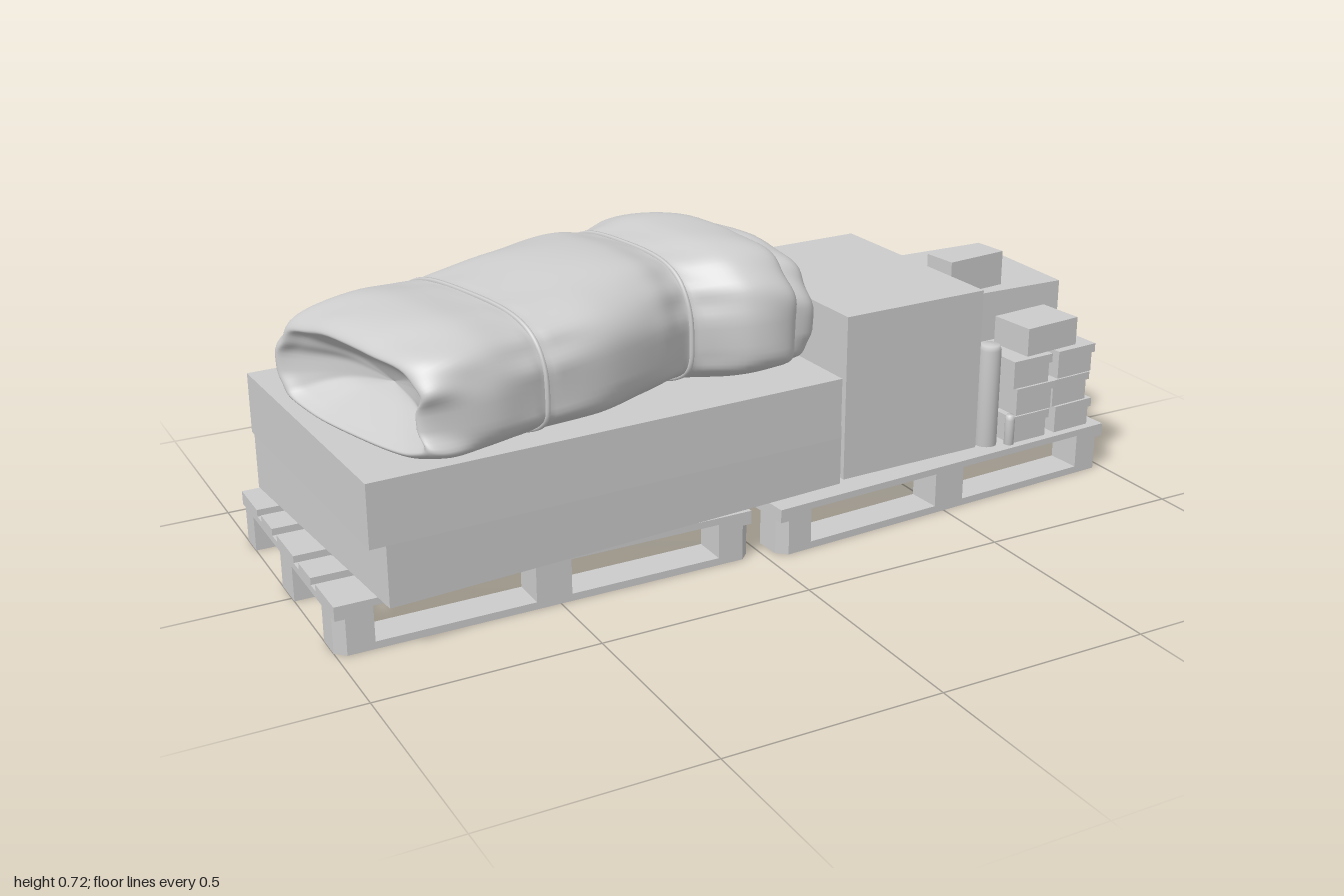
import * as THREE from 'three';

const grey = new THREE.MeshStandardMaterial({ color: 0xcccccc });
grey.name = 'plain grey';

function add(parent, geometry, name) {
  const mesh = new THREE.Mesh(geometry, grey);
  mesh.name = name;
  parent.add(mesh);
  return mesh;
}

// Box standing between heights y0 and y1
function box(parent, name, x, z, w, d, y0, y1, angle = 0) {
  const mesh = add(parent, new THREE.BoxGeometry(w, y1 - y0, d), name);
  mesh.position.set(x, (y0 + y1) / 2, z);
  mesh.rotation.y = angle;
  return mesh;
}

// Plan outline [x, z] raised from y0 to y1
function prism(parent, name, points, y0, y1) {
  const shape = new THREE.Shape(points.map(([x, z]) => new THREE.Vector2(x, -z)));
  const geometry = new THREE.ExtrudeGeometry(shape, { depth: y1 - y0, bevelEnabled: false });
  geometry.rotateX(-Math.PI / 2);
  geometry.translate(0, y0, 0);
  add(parent, geometry, name);
}

function pallet(name, x, z, angle) {
  const g = new THREE.Group();
  g.name = name;
  const L = 0.97, W = 0.65, b = 0.083, cut = 0.022;
  const hx = L / 2, hz = W / 2;
  // Five deck planks on three cross boards
  [[-0.266, 0.118], [-0.135, 0.081], [0, 0.118], [0.135, 0.081], [0.266, 0.118]]
    .forEach(([pz, w]) => box(g, 'deckPlank', 0, pz, L, w, 0.099, 0.115));
  for (const i of [-1, 0, 1]) box(g, 'crossBoard', i * (hx - b / 2), 0, b, W, 0.083, 0.099);
  // Blocks and runners, with the outer corners cut off
  for (const s of [-1, 0, 1]) {
    for (const i of [-1, 0, 1]) {
      const cx = i * (hx - b / 2), cz = s * (hz - b / 2);
      if (i && s) {
        const ox = i * hx, oz = s * hz;
        prism(g, 'cornerBlock', [[ox - i * b, oz - s * b], [ox, oz - s * b], [ox, oz - s * cut],
          [ox - i * cut, oz], [ox - i * b, oz]], 0.017, 0.083);
      } else box(g, 'block', cx, cz, b, b, 0.017, 0.083);
    }
    if (s) {
      const oz = s * hz;
      prism(g, 'runner', [[-hx, oz - s * b], [hx, oz - s * b], [hx, oz - s * cut],
        [hx - cut, oz], [cut - hx, oz], [-hx, oz - s * cut]], 0, 0.017);
    } else box(g, 'runner', 0, 0, L, b, 0, 0.017);
  }
  g.position.set(x, 0, z);
  g.rotation.y = angle;
  return g;
}

// Bundle cross-sections: [along, back, front, bottom, top]
const wrapRows = [
  [-0.40, 0, 0, 0.515, 0.515], [-0.425, -0.12, 0.12, 0.485, 0.56], [-0.475, -0.22, 0.22, 0.44, 0.60],
  [-0.50, -0.26, 0.26, 0.42, 0.62], [-0.46, -0.285, 0.285, 0.405, 0.65], [-0.36, -0.28, 0.285, 0.402, 0.675],
  [-0.218, -0.27, 0.27, 0.402, 0.672], [-0.05, -0.275, 0.28, 0.402, 0.70], [0.10, -0.275, 0.25, 0.402, 0.712],
  [0.207, -0.265, 0.22, 0.402, 0.695], [0.31, -0.29, 0.30, 0.402, 0.715], [0.39, -0.28, 0.32, 0.402, 0.715],
  [0.43, -0.26, 0.30, 0.405, 0.70], [0.42, -0.20, 0.24, 0.43, 0.66], [0.38, 0, 0, 0.53, 0.53]];
const innerRows = [
  [0.34, -0.24, 0.25, 0.41, 0.69], [0.46, -0.245, 0.29, 0.405, 0.69], [0.50, -0.24, 0.27, 0.42, 0.665],
  [0.485, -0.19, 0.22, 0.44, 0.63], [0.46, 0, 0, 0.53, 0.53]];
const coreRows = [
  [0.40, -0.20, 0.20, 0.41, 0.64], [0.50, -0.20, 0.16, 0.405, 0.63], [0.55, -0.18, 0.13, 0.42, 0.61],
  [0.545, -0.11, 0.08, 0.46, 0.56], [0.52, -0.02, -0.02, 0.51, 0.51]];

// Smooth interpolation between cross-sections
function rowAt(rows, p) {
  const n = rows.length - 1, i = Math.min(Math.floor(p), n - 1), f = p - i;
  const r = k => rows[Math.max(0, Math.min(n, k))];
  return rows[0].map((_, k) => {
    const [a, b, c, d] = [r(i - 1)[k], r(i)[k], r(i + 1)[k], r(i + 2)[k]];
    return b + 0.5 * f * (c - a + f * (2 * a - 5 * b + 4 * c - d + f * (3 * (b - c) + d - a)));
  });
}

const bell = (x, w) => Math.exp(-(x * x) / (w * w));
const power = (x, e) => Math.sign(x) * Math.abs(x) ** e;

// Point on the cloth: rounded section with folds, strap creases and loose flaps
function clothPoint(rows, p, t, swell = 1) {
  const [u, back, front, bottom, top] = rowAt(rows, p);
  const c = Math.cos(t), s = Math.sin(t);
  const strap = bell(u + 0.218, 0.1) + bell(u - 0.207, 0.1);
  const atStrap = bell(u + 0.218, 0.015) + bell(u - 0.207, 0.015);
  const ends = bell(u + 0.5, 0.12) + bell(u - 0.48, 0.14);
  const fold = 0.013 * Math.sin(5 * t + 8 * u + 1.5 * Math.sin(9 * u))
    + 0.014 * strap * (1 - atStrap) * Math.sin(13 * t + 5 * u)
    + 0.024 * ends * Math.sin(9 * t + 2 * Math.sin(14 * u));
  const k = swell * (1 + fold - 0.02 * atStrap);
  const notch = 0.14 * bell(u + 0.5, 0.1) * Math.max(0, c) ** 12;
  const flap = c < 0 ? 0.24 * bell(u - 0.31, 0.06) * bell(s + 0.25, 0.45) : 0;
  const z = (back + front) / 2 + (front - back) / 2 * power(c, 0.72) * (k - notch + flap);
  const y = (bottom + top) / 2 + (top - bottom) / 2 * power(s, s < 0 ? 0.5 : 0.8) * (s < 0 ? 1 : k);
  const x = u + 0.11 * z * Math.min(1, Math.max(0, -2.2 * u));
  return new THREE.Vector3(x, y, z);
}

function cloth(rows) {
  const n = 80, m = (rows.length - 1) * 8, pos = [], index = [];
  for (let i = 0; i <= m; i++) {
    for (let j = 0; j < n; j++) pos.push(...clothPoint(rows, i / 8, j / n * Math.PI * 2).toArray());
  }
  for (let i = 0; i < m; i++) {
    for (let j = 0; j < n; j++) {
      const a = i * n + j, b = a + n, c = i * n + (j + 1) % n, d = c + n;
      index.push(a, b, c, b, d, c);
    }
  }
  const geometry = new THREE.BufferGeometry();
  geometry.setAttribute('position', new THREE.Float32BufferAttribute(pos, 3));
  geometry.setIndex(index);
  geometry.computeVertexNormals();
  return geometry;
}

export function createModel() {
  const model = new THREE.Group();
  model.name = 'loadedPallets';
  model.add(pallet('leftPallet', -0.515, -0.025, 0));
  model.add(pallet('rightPallet', 0.493, -0.025, 0.064));

  // Two long flat cartons
  box(model, 'lowerCarton', -0.367, -0.043, 1.13, 0.715, 0.115, 0.26, 0.08);
  box(model, 'upperCarton', -0.393, -0.003, 1.125, 0.71, 0.26, 0.402, 0.038);

  // Tied bundle of cloth
  const bundle = new THREE.Group();
  bundle.name = 'clothBundle';
  add(bundle, cloth(wrapRows), 'outerWrap');
  add(bundle, cloth(innerRows), 'innerFold');
  add(bundle, cloth(coreRows), 'coreFold');
  for (const row of [6, 9]) {
    const points = [];
    for (let j = 0; j < 64; j++) points.push(clothPoint(wrapRows, row, j / 64 * Math.PI * 2, 1.005));
    add(bundle, new THREE.TubeGeometry(new THREE.CatmullRomCurve3(points, true), 128, 0.006, 6, true), 'strap');
  }
  bundle.position.set(-0.4, 0, 0.08);
  bundle.rotation.y = 0.18;
  model.add(bundle);

  // Large boxes
  box(model, 'tallBox', 0.428, -0.025, 0.385, 0.545, 0.115, 0.513, 0.03);
  box(model, 'cubeBox', 0.81, -0.097, 0.35, 0.36, 0.115, 0.44, -0.02);
  box(model, 'smallTopBox', 0.745, 0.008, 0.168, 0.088, 0.44, 0.526, 0.11);

  // Two stacks of lidded boxes with one more on top
  const levels = [[0.115, 0.163, 0.185], [0.185, 0.237, 0.256], [0.256, 0.306, 0.328]];
  [[0.772, 0.19, 0.05], [0.897, 0.182, 0.07]].forEach(([x, z, angle], k) => {
    levels.forEach(([y0, y1, y2], i) => {
      const shift = ((i + k) % 2 ? 1 : -1) * 0.006;
      box(model, 'storageBox', x + shift, z, 0.108, 0.145, y0, y1, angle);
      box(model, 'storageLid', x + shift, z, 0.118, 0.156, y1, y2, angle);
    });
  });
  box(model, 'stackTopBox', 0.835, 0.187, 0.16, 0.118, 0.328, 0.398, 0.1);

  // Upright canister and a small bottle
  [['canister', 0.665, 0.232, 0.027, 0.37], ['bottle', 0.713, 0.262, 0.012, 0.19]].forEach(([name, x, z, r, top]) => {
    const h = top - 0.115;
    const profile = [[0, 0], [r, 0], [r, h - 0.012], [r * 0.8, h], [0, h]].map(p => new THREE.Vector2(...p));
    add(model, new THREE.LatheGeometry(profile, 24), name).position.set(x, 0.115, z);
  });
  return model;
}
